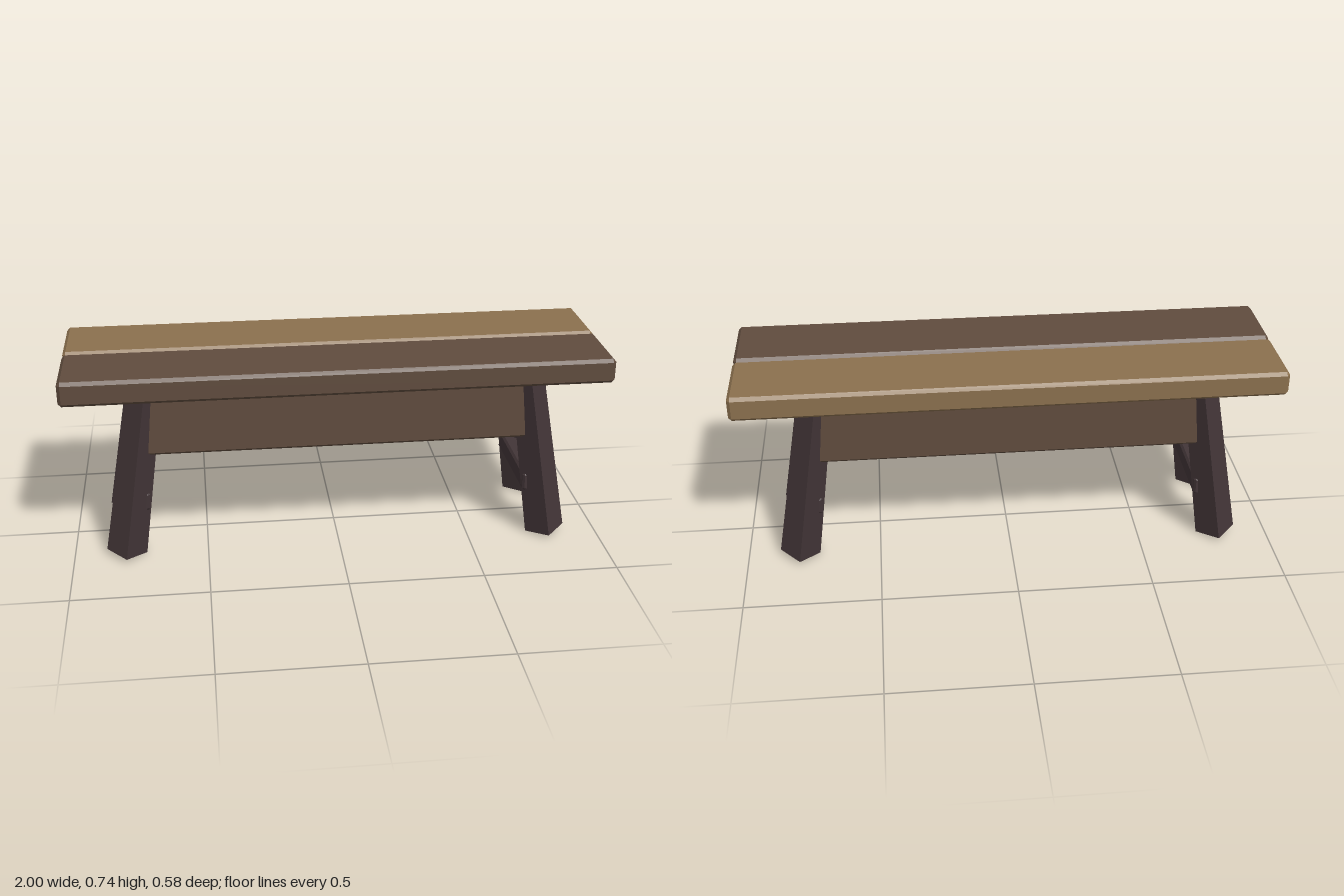
import * as THREE from 'three';
import { ConvexGeometry } from 'three/addons/geometries/ConvexGeometry.js';

// Box with flat 45-degree bevels on every edge, given by its min and max corners
function chamferedBox(min, max, bevel) {
  const centre = min.map((v, i) => (v + max[i]) / 2);
  const half = min.map((v, i) => (max[i] - v) / 2);
  const points = [];
  for (const sx of [-1, 1]) for (const sy of [-1, 1]) for (const sz of [-1, 1]) {
    const sign = [sx, sy, sz];
    for (let axis = 0; axis < 3; axis++) {
      const p = sign.map((s, i) => centre[i] + s * (half[i] - (i === axis ? 0 : bevel)));
      points.push(new THREE.Vector3(...p));
    }
  }
  return new ConvexGeometry(points);
}

// Tapered square post between two points, set corner-on
function post(bottom, top, bottomRadius, topRadius) {
  const axis = top.clone().sub(bottom);
  const geometry = new THREE.CylinderGeometry(topRadius, bottomRadius, axis.length(), 4).toNonIndexed();
  geometry.computeVertexNormals();
  geometry.applyQuaternion(new THREE.Quaternion().setFromUnitVectors(
    new THREE.Vector3(0, 1, 0), axis.clone().normalize()));
  const mid = bottom.clone().add(top).multiplyScalar(0.5);
  return geometry.translate(mid.x, mid.y, mid.z);
}

export function createModel() {
  const group = new THREE.Group();
  const material = (name, color) => {
    const m = new THREE.MeshStandardMaterial({ color });
    m.name = name;
    return m;
  };
  const lightWood = material('lightWood', 0x8b704e);
  const brownWood = material('brownWood', 0x604c3e);
  const darkWood = material('darkWood', 0x423537);

  const add = (name, geometry, mat) => {
    const mesh = new THREE.Mesh(geometry, mat);
    mesh.name = name;
    group.add(mesh);
  };

  // Two seat planks with a narrow gap
  add('frontPlank', chamferedBox([-1, 0.652, 0.005], [1, 0.745, 0.288], 0.012), brownWood);
  add('backPlank', chamferedBox([-1, 0.652, -0.288], [1, 0.745, -0.005], 0.012), lightWood);

  // Apron boards under the seat, running between the legs
  add('frontApron', chamferedBox([-0.735, 0.41, 0.115], [0.735, 0.655, 0.2], 0.01), brownWood);
  add('backApron', chamferedBox([-0.735, 0.41, -0.2], [0.735, 0.655, -0.115], 0.01), brownWood);

  for (const sx of [-1, 1]) {
    const side = sx > 0 ? 'left' : 'right';
    // Splayed, tapered legs
    for (const sz of [-1, 1]) {
      add(side + (sz > 0 ? 'FrontLeg' : 'BackLeg'), post(
        new THREE.Vector3(sx * 0.805, 0.013, sz * 0.188),
        new THREE.Vector3(sx * 0.705, 0.652, sz * 0.163), 0.075, 0.0625), darkWood);
    }
    // Cross rail joining each pair of legs
    const x = sx * 0.7425;
    add(side + 'CrossRail', chamferedBox([x - 0.0375, 0.185, -0.2], [x + 0.0375, 0.256, 0.2], 0.008), darkWood);
  }
  return group;
}
